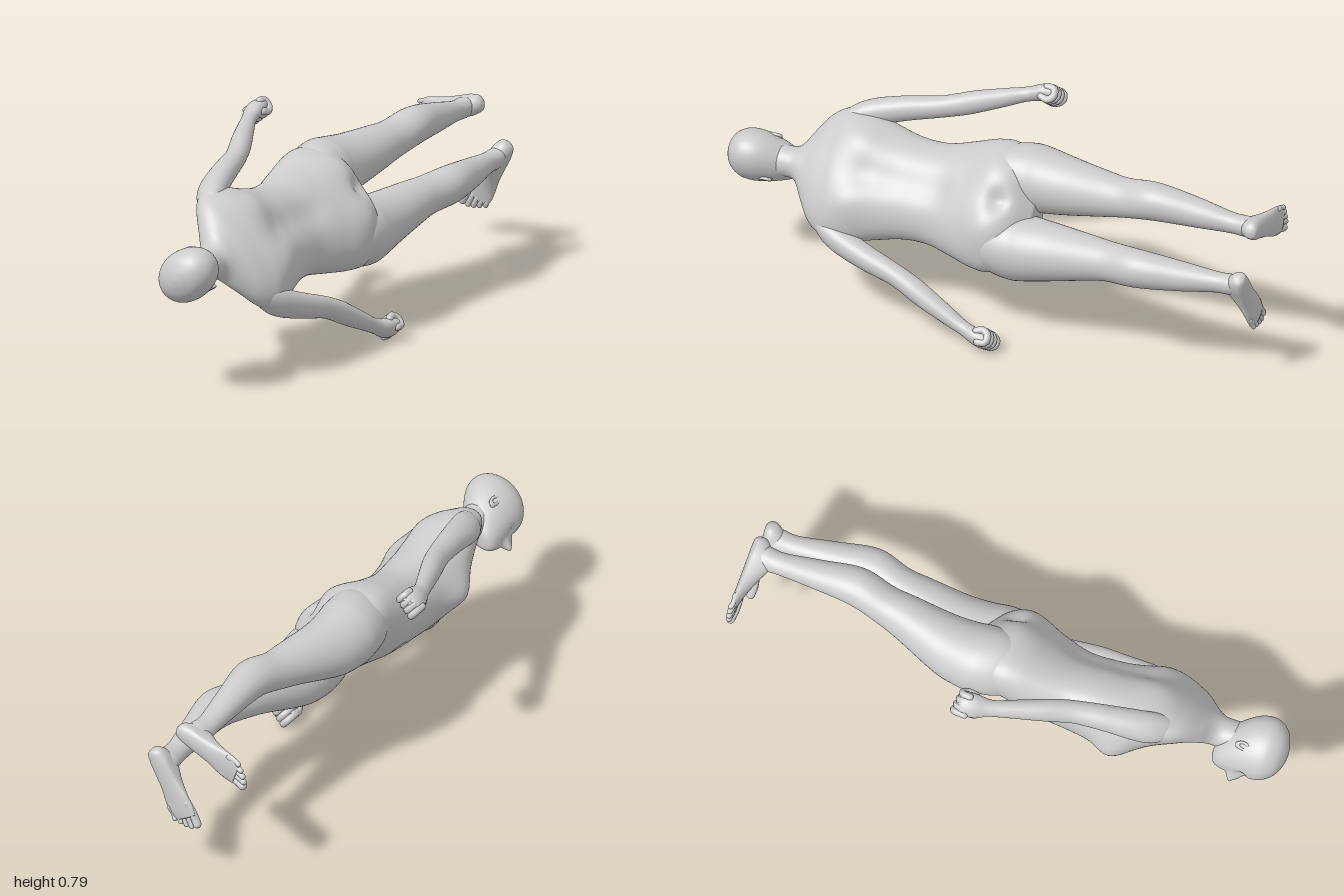
import * as THREE from 'three';

const material = new THREE.MeshStandardMaterial({ color: 0xcccccc, roughness: 0.8 });

// Pushes a point by soft round bumps: [x, y, z, size, pushX, pushY, pushZ]
function applyBumps(p, bumps) {
  const o = p.clone();
  for (const [x, y, z, s, px, py, pz] of bumps) {
    const d = (o.x - x) ** 2 + (o.y - y) ** 2 + (o.z - z) ** 2;
    const k = Math.exp(-d / (2 * s * s));
    p.x += px * k; p.y += py * k; p.z += pz * k;
  }
  return p;
}

// Smooth skin over oval sections [y, x, z, halfWidth, frontDepth, backDepth]
function loft(sections, { side = 1, bumps = [], steps = 6, segs = 48 } = {}) {
  const rows = [...sections].sort((a, b) => a[0] - b[0]);
  const rings = [];
  const at = (i) => rows[Math.min(Math.max(i, 0), rows.length - 1)];
  const cubic = (a, b, c, d, t) => 0.5 * (2 * b + (c - a) * t
    + (2 * a - 5 * b + 4 * c - d) * t * t + (3 * b - a - 3 * c + d) * t * t * t);
  for (let i = 0; i < rows.length - 1; i++)
    for (let k = 0; k < steps; k++)
      rings.push(at(i).map((v, n) => cubic(at(i - 1)[n], v, at(i + 1)[n], at(i + 2)[n], k / steps)));
  rings.push(at(rows.length - 1));

  const pos = [], index = [];
  for (const [y, x, z, rx, rf, rb] of rings)
    for (let j = 0; j < segs; j++) {
      const a = (j / segs) * Math.PI * 2, c = Math.cos(a);
      const p = new THREE.Vector3(side * x + Math.sin(a) * rx, y, z + c * (c > 0 ? rf : rb));
      pos.push(...applyBumps(p, bumps).toArray());
    }
  for (let i = 0; i < rings.length - 1; i++)
    for (let j = 0; j < segs; j++) {
      const a = i * segs + j, b = i * segs + (j + 1) % segs;
      index.push(a, b, a + segs, b, b + segs, a + segs);
    }
  // end caps
  const last = rings.length - 1, base = pos.length / 3;
  for (const r of [rings[0], rings[last]]) pos.push(side * r[1], r[0], r[2]);
  for (let j = 0; j < segs; j++) {
    const n = (j + 1) % segs;
    index.push(base, n, j, base + 1, last * segs + j, last * segs + n);
  }
  const g = new THREE.BufferGeometry();
  g.setAttribute('position', new THREE.Float32BufferAttribute(pos, 3));
  g.setIndex(index);
  g.computeVertexNormals();
  return g;
}

function add(parent, name, geometry) {
  const m = new THREE.Mesh(geometry, material);
  m.name = name;
  parent.add(m);
  return m;
}

// Rounded digit running through a few points
function digit(parent, name, points, r) {
  const pts = points.map((p) => new THREE.Vector3(...p));
  const g = new THREE.Group();
  g.name = name;
  add(g, name + 'Bone', new THREE.TubeGeometry(new THREE.CatmullRomCurve3(pts), 12, r, 10));
  for (const p of [pts[0], pts[pts.length - 1]])
    add(g, name + 'Tip', new THREE.SphereGeometry(r, 12, 8)).position.copy(p);
  parent.add(g);
}

function buildTorso(body) {
  // spine groove, cleft, navel
  const bumps = [
    [0, -0.05, -0.14, 0.026, 0, 0, 0.026], [0, 0.28, -0.11, 0.04, 0, 0, 0.012],
    [0, 0.37, -0.11, 0.04, 0, 0, 0.014], [0, 0.46, -0.12, 0.04, 0, 0, 0.014],
    [0, 0.19, -0.11, 0.04, 0, 0, 0.012], [0, 0.14, 0.16, 0.012, 0, 0, -0.01],
  ];
  // chest, buttocks, shoulder blades
  for (const s of [1, -1]) bumps.push(
    [s * 0.11, 0.42, 0.14, 0.05, s * 0.015, -0.005, 0.032],
    [s * 0.1, -0.03, -0.12, 0.065, 0, 0, -0.026],
    [s * 0.12, 0.5, -0.11, 0.055, 0, 0, -0.018]);
  add(body, 'torso', loft([
    [-0.16, 0, 0, 0.08, 0.05, 0.05], [-0.1, 0, 0, 0.2, 0.1, 0.108],
    [-0.03, 0, 0, 0.234, 0.125, 0.129], [0.04, 0, 0, 0.23, 0.142, 0.128],
    [0.12, 0, 0.01, 0.207, 0.153, 0.122], [0.22, 0, 0.02, 0.181, 0.153, 0.114],
    [0.32, 0, 0.02, 0.182, 0.16, 0.12], [0.42, 0, 0.015, 0.206, 0.16, 0.126],
    [0.5, 0, 0.01, 0.232, 0.127, 0.127], [0.57, 0, 0, 0.238, 0.095, 0.116],
    [0.62, 0, -0.005, 0.22, 0.075, 0.098], [0.66, 0, -0.01, 0.185, 0.064, 0.08],
    [0.7, 0, -0.008, 0.125, 0.058, 0.065], [0.73, 0, -0.004, 0.075, 0.055, 0.06],
    [0.76, 0, 0, 0.056, 0.053, 0.057], [0.82, 0, 0, 0.055, 0.05, 0.057],
    [0.86, 0, 0, 0.04, 0.04, 0.04],
  ], { bumps, segs: 96 }));
}

function buildHead(body) {
  // nose, lips, chin
  const bumps = [
    [0, 0.832, 0.12, 0.013, 0, -0.003, 0.036], [0, 0.856, 0.12, 0.011, 0, 0, 0.016],
    [0, 0.795, 0.11, 0.014, 0, 0, 0.009], [0, 0.765, 0.1, 0.016, 0, 0, 0.008],
  ];
  // eye sockets, brows, nostrils
  for (const s of [1, -1]) bumps.push(
    [s * 0.034, 0.87, 0.115, 0.015, 0, 0, -0.01], [s * 0.034, 0.893, 0.115, 0.014, 0, 0, 0.004],
    [s * 0.012, 0.826, 0.12, 0.007, 0, 0, 0.008]);
  add(body, 'head', loft([
    [0.746, 0, 0.065, 0.015, 0.02, 0.03], [0.753, 0, 0.058, 0.034, 0.045, 0.055],
    [0.775, 0, 0.047, 0.053, 0.068, 0.075], [0.815, 0, 0.028, 0.071, 0.091, 0.095],
    [0.86, 0, 0.012, 0.084, 0.107, 0.112], [0.9, 0, 0.005, 0.09, 0.115, 0.119],
    [0.94, 0, 0.002, 0.086, 0.108, 0.113], [0.975, 0, 0, 0.065, 0.08, 0.084],
    [0.994, 0, 0, 0.032, 0.04, 0.042], [1, 0, 0, 0.005, 0.005, 0.005],
  ], { bumps, segs: 96, steps: 8 }));
  for (const s of [1, -1]) {
    const ear = add(body, 'ear', new THREE.TorusGeometry(0.014, 0.006, 10, 24));
    ear.scale.set(0.85, 1.4, 1);
    ear.position.set(s * 0.079, 0.85, -0.008);
    ear.rotation.y = s * (Math.PI / 2 - 0.06);
    const lobe = add(body, 'earLobe', new THREE.SphereGeometry(0.009, 12, 8));
    lobe.position.set(s * 0.075, 0.832, -0.002);
    const eye = add(body, 'eye', new THREE.SphereGeometry(0.013, 16, 12));
    eye.position.set(s * 0.034, 0.87, 0.09);
  }
}

function buildArm(body, s) {
  const arm = new THREE.Group();
  arm.name = s > 0 ? 'leftArm' : 'rightArm';
  add(arm, 'armSkin', loft([
    [0.625, 0.18, -0.01, 0.012, 0.015, 0.015], [0.605, 0.188, -0.008, 0.036, 0.036, 0.042],
    [0.56, 0.21, -0.002, 0.05, 0.052, 0.058], [0.5, 0.236, 0, 0.05, 0.054, 0.058],
    [0.4, 0.268, 0.002, 0.045, 0.046, 0.05], [0.3, 0.294, 0.008, 0.04, 0.041, 0.043],
    [0.24, 0.315, 0.016, 0.041, 0.042, 0.042], [0.18, 0.339, 0.028, 0.042, 0.041, 0.041],
    [0.08, 0.38, 0.05, 0.034, 0.034, 0.034], [0.01, 0.409, 0.065, 0.027, 0.031, 0.031],
    [-0.04, 0.427, 0.07, 0.03, 0.043, 0.043], [-0.08, 0.432, 0.073, 0.03, 0.045, 0.045],
    [-0.105, 0.43, 0.073, 0.018, 0.034, 0.034],
  ], { side: s }));
  // curled fingers and thumb
  for (let i = 0; i < 4; i++) {
    const z = 0.107 - i * 0.023, up = i * 0.004;
    digit(arm, 'finger', [[s * 0.447, -0.065, z], [s * 0.443, -0.103 + up, z],
      [s * 0.416, -0.106 + up, z], [s * 0.402, -0.075, z], [s * 0.41, -0.05, z]], 0.0135);
  }
  digit(arm, 'thumb', [[s * 0.418, -0.01, 0.09], [s * 0.412, -0.045, 0.108], [s * 0.402, -0.075, 0.102]], 0.0135);
  // the left arm swings a little further out
  if (s > 0) {
    arm.rotation.z = 0.05;
    arm.position.x = 0.027;
  }
  body.add(arm);
}

function buildLeg(body, s) {
  add(body, 'leg', loft([
    [0.06, 0.105, 0, 0.07, 0.07, 0.07], [-0.02, 0.12, 0, 0.105, 0.112, 0.116],
    [-0.1, 0.124, 0.005, 0.119, 0.122, 0.124], [-0.16, 0.123, 0.006, 0.115, 0.121, 0.116],
    [-0.25, 0.119, 0, 0.102, 0.11, 0.106], [-0.4, 0.115, -0.037, 0.08, 0.086, 0.081],
    [-0.48, 0.115, -0.054, 0.07, 0.074, 0.071], [-0.6, 0.121, -0.08, 0.067, 0.065, 0.074],
    [-0.75, 0.115, -0.072, 0.053, 0.05, 0.055], [-0.88, 0.107, -0.06, 0.037, 0.039, 0.042],
    [-0.94, 0.105, -0.06, 0.037, 0.045, 0.045], [-0.975, 0.105, -0.06, 0.03, 0.04, 0.035],
  ], { side: s }));

  // foot sections run heel to ball, then the loft is laid flat
  const foot = new THREE.Group();
  foot.name = 'foot';
  foot.position.set(s * 0.105, -1, -0.06);
  foot.rotation.y = s * 0.35;
  const sole = loft([
    [-0.066, 0, -0.028, 0.008, 0.01, 0.012], [-0.054, 0, -0.025, 0.028, 0.022, 0.03],
    [-0.02, 0, -0.025, 0.038, 0.025, 0.055], [0.025, 0, -0.02, 0.039, 0.02, 0.07],
    [0.08, 0, -0.02, 0.043, 0.02, 0.045], [0.13, 0, -0.016, 0.051, 0.016, 0.028],
    [0.175, 0, -0.014, 0.054, 0.014, 0.015], [0.205, -0.006, -0.012, 0.044, 0.01, 0.008],
  ], { side: s });
  sole.rotateX(Math.PI / 2);
  add(foot, 'sole', sole);
  for (let i = 0; i < 5; i++) {
    const x = s * (-0.036 + i * 0.019 + (i ? 0.004 : 0)), r = i ? 0.0115 - i * 0.0006 : 0.015;
    const tip = [0.24, 0.24, 0.23, 0.216, 0.2][i];
    digit(foot, 'toe', [[x, r + 0.002, 0.155], [x, r + 0.004, (0.155 + tip) / 2 + 0.01], [x, r, tip]], r);
  }
  body.add(foot);
}

export function createModel() {
  const model = new THREE.Group();
  model.name = 'figure';
  const body = new THREE.Group();
  body.name = 'body';
  buildTorso(body);
  buildHead(body);
  for (const s of [1, -1]) { buildArm(body, s); buildLeg(body, s); }

  // lay the standing body along z, rolled onto its front and side
  const roll = 0.9;
  const left = new THREE.Vector3(Math.cos(roll), -Math.sin(roll), 0);
  const up = new THREE.Vector3(0, 0, 1);
  const front = new THREE.Vector3().crossVectors(left, up);
  body.quaternion.setFromRotationMatrix(new THREE.Matrix4().makeBasis(left, up, front));
  model.add(body);

  // rest on the ground, centred
  const box = new THREE.Box3().setFromObject(model, true);
  const c = box.getCenter(new THREE.Vector3());
  body.position.set(-c.x, -box.min.y, -c.z);
  return model;
}
